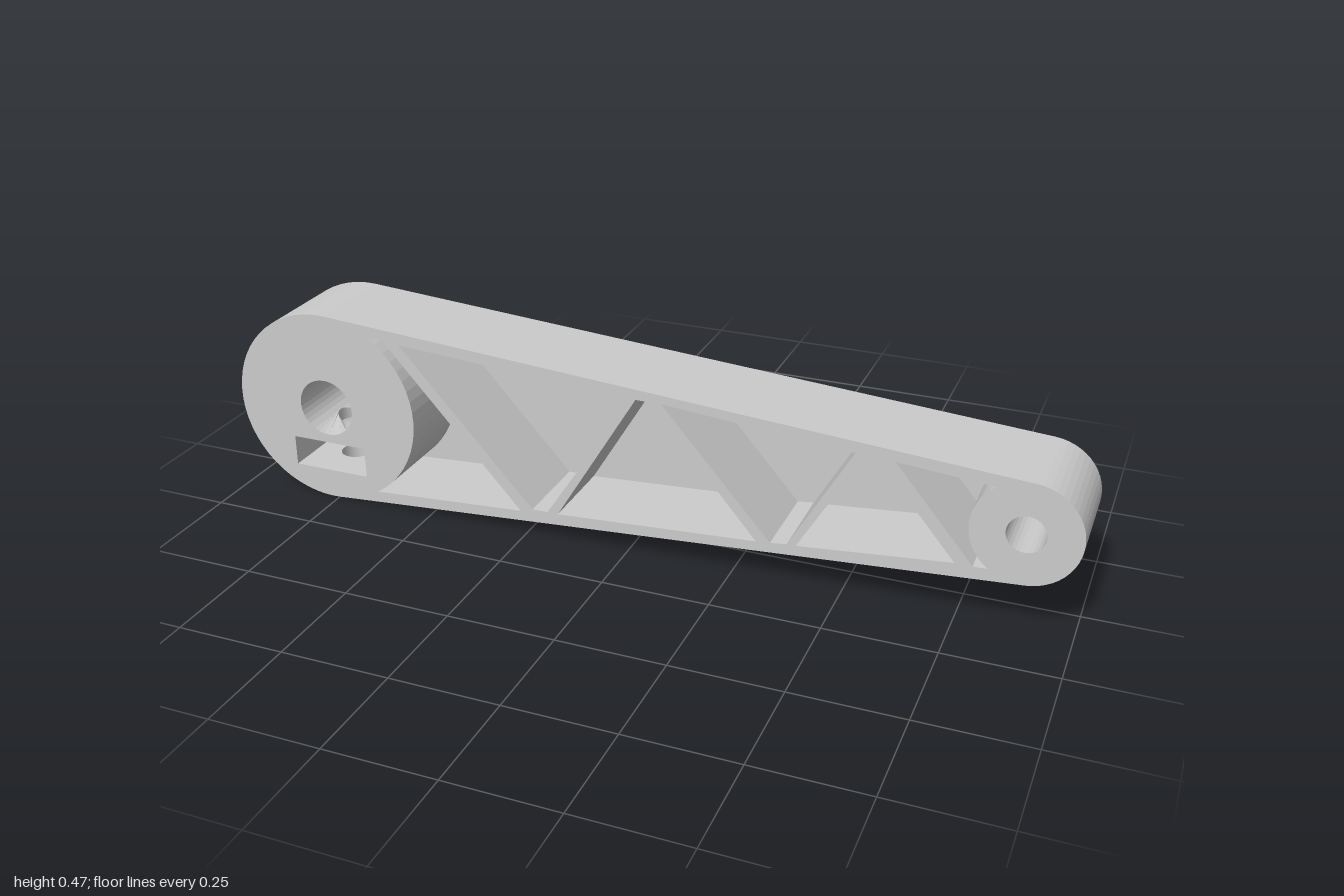
import * as THREE from 'three';
import { mergeGeometries } from 'three/addons/utils/BufferGeometryUtils.js';

const BACK = -0.117, FRONT = 0.117, FLOOR = -0.09, SLOT_FLOOR = -0.075;
const CY = 0.235;
const BIG = { x: -0.765, r: 0.235, bore: 0.07 };
const SMALL = { x: 0.882, r: 0.118, bore: 0.042 };
const SCREW_R = 0.038, PATCH = 0.05; // radial screw hole, half width of the wall strip around it
const TILT = Math.asin((BIG.r - SMALL.r) / (SMALL.x - BIG.x));
const DEG = Math.PI / 180;

const pts = (list) => list.map(([x, y]) => new THREE.Vector2(x, y));

function arc(cx, r, a0, a1, n) {
  return Array.from({ length: n + 1 }, (_, i) => {
    const a = a0 + ((a1 - a0) * i) / n;
    return new THREE.Vector2(cx + r * Math.cos(a), CY + r * Math.sin(a));
  });
}

// Lower edge of the arm near the big end: round, then the straight tangent
function lowerEdge(x) {
  const d = x - BIG.x, t = BIG.r * Math.sin(TILT);
  return d < t
    ? CY - Math.sqrt(BIG.r ** 2 - d * d)
    : CY - BIG.r * Math.cos(TILT) + (d - t) * Math.tan(TILT);
}
const boreEdge = (x) => CY - Math.sqrt(BIG.bore ** 2 - (x - BIG.x) ** 2);

// Flat-shaded wall standing along a path, its front on the right-hand side
function wall(path, z0, z1, closed = true) {
  const pos = [];
  for (let i = 0; i < path.length - (closed ? 0 : 1); i++) {
    const a = path[i], b = path[(i + 1) % path.length];
    pos.push(a.x, a.y, z0, b.x, b.y, z0, b.x, b.y, z1, a.x, a.y, z0, b.x, b.y, z1, a.x, a.y, z1);
  }
  const g = new THREE.BufferGeometry();
  g.setAttribute('position', new THREE.Float32BufferAttribute(pos, 3));
  g.computeVertexNormals();
  return g;
}

function face(outline, holes, z) {
  const s = new THREE.Shape(outline);
  s.holes = holes.map((h) => new THREE.Path(h));
  const g = new THREE.ShapeGeometry(s).toNonIndexed().translate(0, 0, z);
  g.deleteAttribute('uv');
  return g;
}

const stripXs = (half) => Array.from({ length: 9 }, (_, i) => BIG.x - half + (half * i) / 4);

// Strip of wall following y = f(x), pierced by the screw hole
function piercedStrip(f, half, z0, z1, up) {
  const xs = stripXs(half);
  const rim = pts([...xs.map((x) => [x, z0]), ...xs.slice().reverse().map((x) => [x, z1])]);
  const hole = arc(BIG.x, SCREW_R, 0, 2 * Math.PI, 24).slice(0, -1);
  hole.forEach((p) => { p.y -= CY; });
  const g = face(rim, [hole], 0), p = g.attributes.position;
  for (let i = 0; i < p.count; i++) p.setXYZ(i, p.getX(i), f(p.getX(i)), p.getY(i));
  if (up) {
    for (let i = 0; i < p.count; i += 3) {
      const b = [p.getX(i), p.getY(i), p.getZ(i)];
      p.setXYZ(i, p.getX(i + 1), p.getY(i + 1), p.getZ(i + 1));
      p.setXYZ(i + 1, ...b);
    }
  }
  g.computeVertexNormals();
  return g;
}

// Screw hole lining whose ends follow the surfaces it opens into
function screwTube(bottom, top) {
  const g = new THREE.CylinderGeometry(SCREW_R, SCREW_R, 1, 24, 1, true);
  const p = g.attributes.position;
  for (let i = 0; i < p.count; i++) {
    const x = p.getX(i) + BIG.x;
    p.setXYZ(i, x, p.getY(i) > 0 ? top(x) : bottom(x), p.getZ(i));
  }
  return g;
}

export function createModel() {
  const group = new THREE.Group();
  const mat = new THREE.MeshStandardMaterial({ color: 0xcccccc, side: THREE.DoubleSide });
  const add = (name, ...geos) => {
    const mesh = new THREE.Mesh(geos.length > 1 ? mergeGeometries(geos) : geos[0], mat);
    mesh.name = name;
    group.add(mesh);
  };

  // Tapered outline, from the screw strip around the arm and back to it
  const right = BIG.x + PATCH, left = BIG.x - PATCH;
  const side = [
    new THREE.Vector2(right, lowerEdge(right)),
    ...arc(SMALL.x, SMALL.r, -Math.PI / 2 + TILT, Math.PI / 2 - TILT, 24),
    ...arc(BIG.x, BIG.r, Math.PI / 2 - TILT, 1.5 * Math.PI - Math.asin(PATCH / BIG.r), 28),
  ];
  const outline = [...side, ...stripXs(PATCH).slice(1, -1).map((x) => new THREE.Vector2(x, lowerEdge(x)))];

  // Bores
  const gap = Math.asin(PATCH / BIG.bore);
  const boreSide = arc(BIG.x, BIG.bore, -Math.PI / 2 + gap, 1.5 * Math.PI - gap, 28);
  const bigBore = [...boreSide, ...stripXs(PATCH).slice(1, -1).map((x) => new THREE.Vector2(x, boreEdge(x)))];
  const smallBore = arc(SMALL.x, SMALL.bore, 0, 2 * Math.PI, 28).slice(0, -1);

  // Nut slot
  const sx = 0.096, sy0 = 0.07, sy1 = 0.144;
  const slot = pts([[BIG.x - sx, sy0], [BIG.x + sx, sy0], [BIG.x + sx, sy1], [BIG.x - sx, sy1]]);

  // Pockets left between the zigzag ribs
  const pockets = [
    [...pts([[-0.26, 0.06], [-0.6, 0.435]]), ...arc(BIG.x, BIG.r, 58 * DEG, -58 * DEG, 18)],
    pts([[-0.556, 0.428], [-0.23, 0.07], [-0.192, 0.07], [0.016, 0.39]]),
    pts([[-0.166, 0.07], [0.31, 0.099], [0.06, 0.39], [0.027, 0.39]]),
    pts([[0.086, 0.39], [0.342, 0.102], [0.38, 0.107], [0.519, 0.353]]),
    pts([[0.4, 0.107], [0.743, 0.139], [0.567, 0.348], [0.54, 0.348]]),
    [...pts([[0.604, 0.348], [0.781, 0.139]]), ...arc(SMALL.x, SMALL.r, 234 * DEG, 126 * DEG, 12)],
  ];

  const backFace = face(outline.slice().reverse(), [bigBore, smallBore], 0);
  backFace.rotateY(Math.PI).scale(-1, 1, 1); // mirrored twice in x, so only the facing changes
  const bp = backFace.attributes.position;
  for (let i = 0; i < bp.count; i += 3) {
    const x = bp.getX(i), y = bp.getY(i);
    bp.setXYZ(i, bp.getX(i + 1), bp.getY(i + 1), 0);
    bp.setXYZ(i + 1, x, y, 0);
  }
  backFace.translate(0, 0, BACK).computeVertexNormals();

  add('frontFace', face(outline, [bigBore, smallBore, slot, ...pockets], FRONT));
  add('backFace', backFace);
  add('outerWall', wall(side, BACK, FRONT, false), piercedStrip(lowerEdge, PATCH, BACK, FRONT, false));
  pockets.forEach((p, i) =>
    add(`pocket${i + 1}`, wall(p.slice().reverse(), FLOOR, FRONT), face(p, [], FLOOR)));
  add('smallBore', wall(smallBore.slice().reverse(), BACK, FRONT));
  add('bigBore', wall(boreSide.slice().reverse(), BACK, FRONT, false),
    piercedStrip(boreEdge, PATCH, BACK, FRONT, true));
  add('nutSlot', face(slot, [], SLOT_FLOOR),
    wall([slot[2], slot[1]], SLOT_FLOOR, FRONT, false),
    wall([slot[0], slot[3]], SLOT_FLOOR, FRONT, false),
    piercedStrip(() => sy0, sx, SLOT_FLOOR, FRONT, true),
    piercedStrip(() => sy1, sx, SLOT_FLOOR, FRONT, false));
  add('lowerScrewHole', screwTube(lowerEdge, () => sy0));
  add('upperScrewHole', screwTube(() => sy1, boreEdge));
  return group;
}
